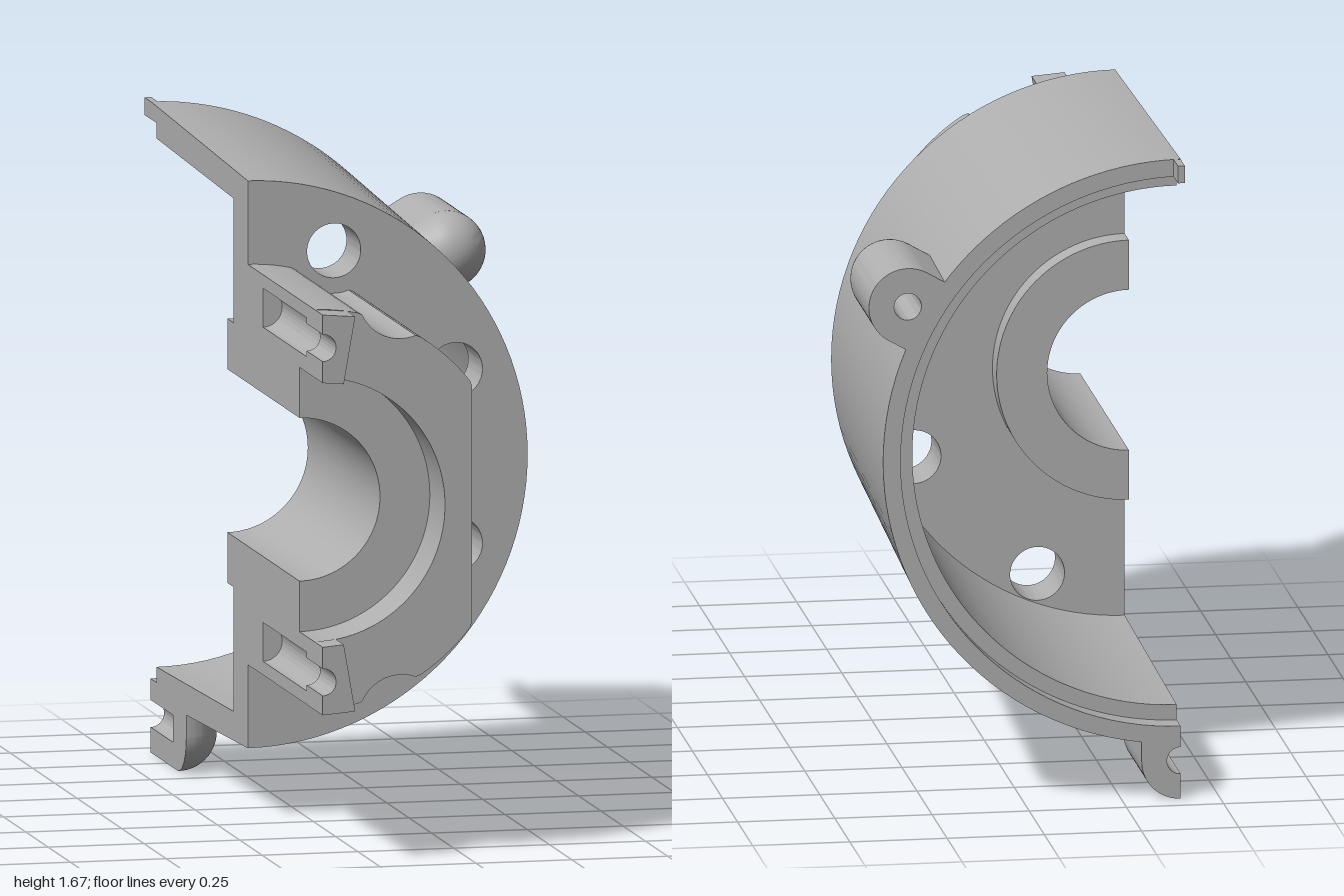
import * as THREE from 'three';
import { toCreasedNormals } from 'three/addons/utils/BufferGeometryUtils.js';

const AXIS_X = -0.4, AXIS_Y = 0.915, H = Math.PI / 2;
const SCREW_R = 0.43;                 // screw channel distance from the axis
const HOLE_D = 0.587, HOLE_R = 0.07;  // bolt circle and hole radius
const HOLE_ANGLES = [-3, -1, 1, 3].map(k => k * Math.PI / 8);

export function createModel() {
  const grey = new THREE.MeshStandardMaterial({ color: 0xb0b0b0, side: THREE.DoubleSide });
  grey.name = 'housing grey';
  const model = new THREE.Group();
  model.name = 'halfHousing';
  model.position.set(AXIS_X, AXIS_Y, 0);

  const add = (name, geo, parent = model) => {
    const mesh = new THREE.Mesh(toCreasedNormals(geo, 0.5), grey);
    mesh.name = name;
    parent.add(mesh);
    return mesh;
  };
  const extrude = (shape, z0, z1) =>
    new THREE.ExtrudeGeometry(shape, { depth: z1 - z0, bevelEnabled: false, curveSegments: 32 }).translate(0, 0, z0);

  // Half section (x >= 0): outer radius by angle, bore and screw grooves on the cut face
  const halfSection = (outer, bore, groove = 0) => {
    const s = new THREE.Shape(), n = 128;
    for (let i = 0; i <= n; i++) {
      const t = -H + Math.PI * i / n, r = outer(t);
      const x = i === 0 || i === n ? 0 : r * Math.cos(t);
      if (i) s.lineTo(x, r * Math.sin(t)); else s.moveTo(x, r * Math.sin(t));
    }
    const notch = (y, r) => { s.lineTo(0, y + r); s.absarc(0, y, r, H, -H, true); };
    if (groove) notch(SCREW_R, groove);
    notch(0, bore);
    if (groove) notch(-SCREW_R, groove);
    s.closePath();
    return s;
  };

  // Flat cap lying on the cut plane from (y, z) points
  const cutCap = pts => new THREE.ShapeGeometry(new THREE.Shape(pts.map(p => new THREE.Vector2(...p))))
    .applyMatrix4(new THREE.Matrix4().makeBasis(
      new THREE.Vector3(0, 1, 0), new THREE.Vector3(0, 0, 1), new THREE.Vector3(1, 0, 0)));

  // Tapered bell wall with a stepped rim
  const wall = [[0.66, 0], [0.68, -0.865], [0.72, -0.865], [0.72, -0.93], [0.765, -0.93], [0.73, 0.16], [0.66, 0.16]];
  add('bellWall', new THREE.LatheGeometry(wall.map(p => new THREE.Vector2(...p)), 64, 0, Math.PI).rotateX(H));
  for (const side of [1, -1]) add('wallCutFace', cutCap(wall.map(([r, z]) => [side * r, z])));

  // Front plate with four through holes, and a boss behind it
  const plate = halfSection(() => 0.66, 0.21);
  for (const a of HOLE_ANGLES) {
    plate.holes.push(new THREE.Path().absarc(HOLE_D * Math.cos(a), HOLE_D * Math.sin(a), HOLE_R, 0, Math.PI * 2, true));
  }
  add('frontPlate', extrude(plate, 0, 0.16));
  add('rearBoss', extrude(halfSection(() => 0.34, 0.21), -0.07, 0));

  // Neck: round, flattened on the side and scalloped around the upper and lower holes
  const neckRadius = t => {
    let r = Math.min(0.515, 0.41 / Math.cos(t));
    for (const a of [HOLE_ANGLES[0], HOLE_ANGLES[3]]) {
      const d = 0.0121 - (HOLE_D * Math.sin(t - a)) ** 2;
      if (d > 0) r = Math.min(r, HOLE_D * Math.cos(t - a) - Math.sqrt(d));
    }
    return r;
  };
  for (const [z0, z1, bore, groove] of [
    [0.16, 0.33, 0.21, 0], [0.33, 0.74, 0.21, 0.05], [0.74, 0.82, 0.34, 0.05], [0.82, 0.91, 0.34, 0.035],
  ]) add('neck', extrude(halfSection(neckRadius, bore, groove), z0, z1));

  // Grooved end tabs, mirrored top and bottom
  for (const side of [1, -1]) {
    const s = new THREE.Shape();
    s.moveTo(0, side * 0.34);
    s.lineTo(0.055, side * 0.335);
    s.lineTo(0.085, side * 0.508);
    s.lineTo(0, side * 0.515);
    s.lineTo(0, side * (SCREW_R + 0.035));
    s.absarc(0, side * SCREW_R, 0.035, side * H, -side * H, side > 0);
    s.closePath();
    add('endTab', extrude(s, 0.91, 1));
  }

  // Small locating lip on the rim
  add('rimLip', new THREE.BoxGeometry(0.018, 0.045, 0.07).translate(0.009, 0.742, -0.965));

  // Screw lugs on the wall: round-nosed, with a blind hole from the back
  const R = 0.1, C = 0.81, BASE = 0.72, NOSE = -0.63, BACK = -0.93, DEEP = -0.68, HR = 0.035;
  const lug = (angle, half) => {
    const g = new THREE.Group();
    g.name = 'screwLug';
    g.rotation.z = angle - H;
    model.add(g);
    // local +y is radial; a half lug keeps the local -x side
    const body = withHole => {
      const s = new THREE.Shape();
      s.moveTo(-R, BASE);
      if (half) {
        s.lineTo(0, BASE);
        if (withHole) { s.lineTo(0, C - HR); s.absarc(0, C, HR, -H, -3 * H, true); }
        s.lineTo(0, C + R);
        s.absarc(0, C, R, H, Math.PI, false);
      } else {
        s.lineTo(R, BASE);
        s.absarc(0, C, R, 0, Math.PI, false);
        if (withHole) s.holes.push(new THREE.Path().absarc(0, C, HR, 0, Math.PI * 2, true));
      }
      s.closePath();
      return s;
    };
    add('lugBody', extrude(body(true), BACK, DEEP), g);
    add('lugBody', extrude(body(false), DEEP, NOSE), g);
    const span = half ? H : Math.PI, start = half ? -H : -H;
    add('lugNose', new THREE.CylinderGeometry(R, R, C - BASE, 24, 1, true, start, span)
      .translate(0, (C + BASE) / 2, NOSE), g);
    // sphere quarter over the nose (x = -cos(phi), z = sin(phi))
    add('lugTip', new THREE.SphereGeometry(R, 24, 12, 0, span, 0, H).translate(0, C, NOSE), g);
    if (half) {
      const pts = [[BASE, NOSE], [BASE, NOSE + R]];
      for (let i = 0; i <= 10; i++) {
        const a = H * (1 - i / 10);
        pts.push([C + R * Math.cos(a), NOSE + R * Math.sin(a)]);
      }
      add('lugCutFace', cutCap(pts), g);
    }
  };
  lug(Math.PI / 6, false);
  lug(-H, true);

  return model;
}
